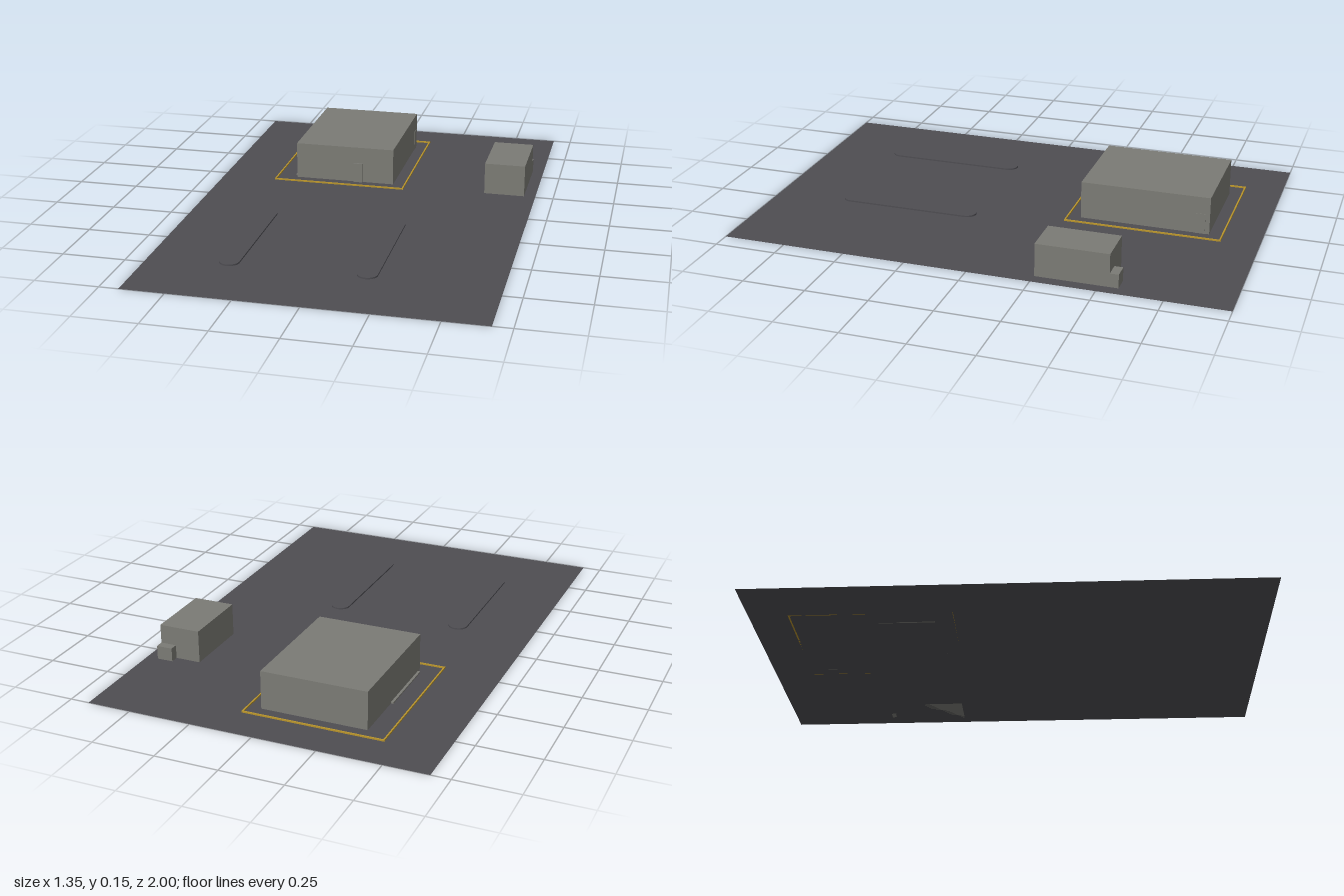
import * as THREE from 'three';

export function createModel() {
  const group = new THREE.Group();
  const asphalt = new THREE.MeshStandardMaterial({ color: 0x4e4d52, side: THREE.DoubleSide });
  asphalt.name = 'asphalt';
  const concrete = new THREE.MeshStandardMaterial({ color: 0x7b7b75 });
  concrete.name = 'concrete';
  const yellow = new THREE.MeshStandardMaterial({ color: 0xb8942c });
  yellow.name = 'yellow paint';

  const add = (name, geometry, material) => {
    const mesh = new THREE.Mesh(geometry, material);
    mesh.name = name;
    group.add(mesh);
    return mesh;
  };
  // Block standing on the lot, given by its x and z limits and its height
  const block = (name, x0, x1, z0, z1, height, material = concrete) =>
    add(name, new THREE.BoxGeometry(x1 - x0, height, z1 - z0), material)
      .position.set((x0 + x1) / 2, height / 2, (z0 + z1) / 2);

  // Lot surface
  add('lot', new THREE.PlaneGeometry(1.35, 2).rotateX(-Math.PI / 2), asphalt);

  // Main building with its doors and low side step
  block('mainBuilding', -0.36, 0.064, -0.793, -0.269, 0.154);
  block('frontDoor', -0.109, -0.07, -0.27, -0.262, 0.084);
  block('sideDoor', 0.06, 0.066, -0.775, -0.738, 0.084);
  block('sideStep', -0.37, -0.36, -0.57, -0.29, 0.006);

  // Small building with an annex behind it
  block('smallBuilding', 0.46, 0.628, -0.54, -0.253, 0.132);
  block('annex', 0.563, 0.628, -0.574, -0.54, 0.055);

  // Painted border around the main building
  const [x0, x1, z0, z1, w, h] = [-0.446, 0.118, -0.848, -0.214, 0.006, 0.006];
  block('borderBack', x0, x1, z0, z0 + w, h, yellow);
  block('borderFront', x0, x1, z1 - w, z1, h, yellow);
  block('borderRight', x0, x0 + w, z0 + w, z1 - w, h, yellow);
  block('borderLeft', x1 - w, x1, z0 + w, z1 - w, h, yellow);

  // Two low islands with round ends
  const radius = 0.039, halfStraight = 0.25;
  const outline = new THREE.Shape();
  outline.absarc(0, halfStraight, radius, 0, Math.PI);
  outline.absarc(0, -halfStraight, radius, Math.PI, Math.PI * 2);
  outline.closePath();
  const islandGeometry = new THREE.ExtrudeGeometry(outline, {
    depth: 0.006, bevelEnabled: false, curveSegments: 12,
  }).rotateX(-Math.PI / 2);
  for (const [name, x] of [['rightIsland', -0.36], ['leftIsland', 0.17]]) {
    add(name, islandGeometry, asphalt).position.set(x, 0, 0.43);
  }
  return group;
}
